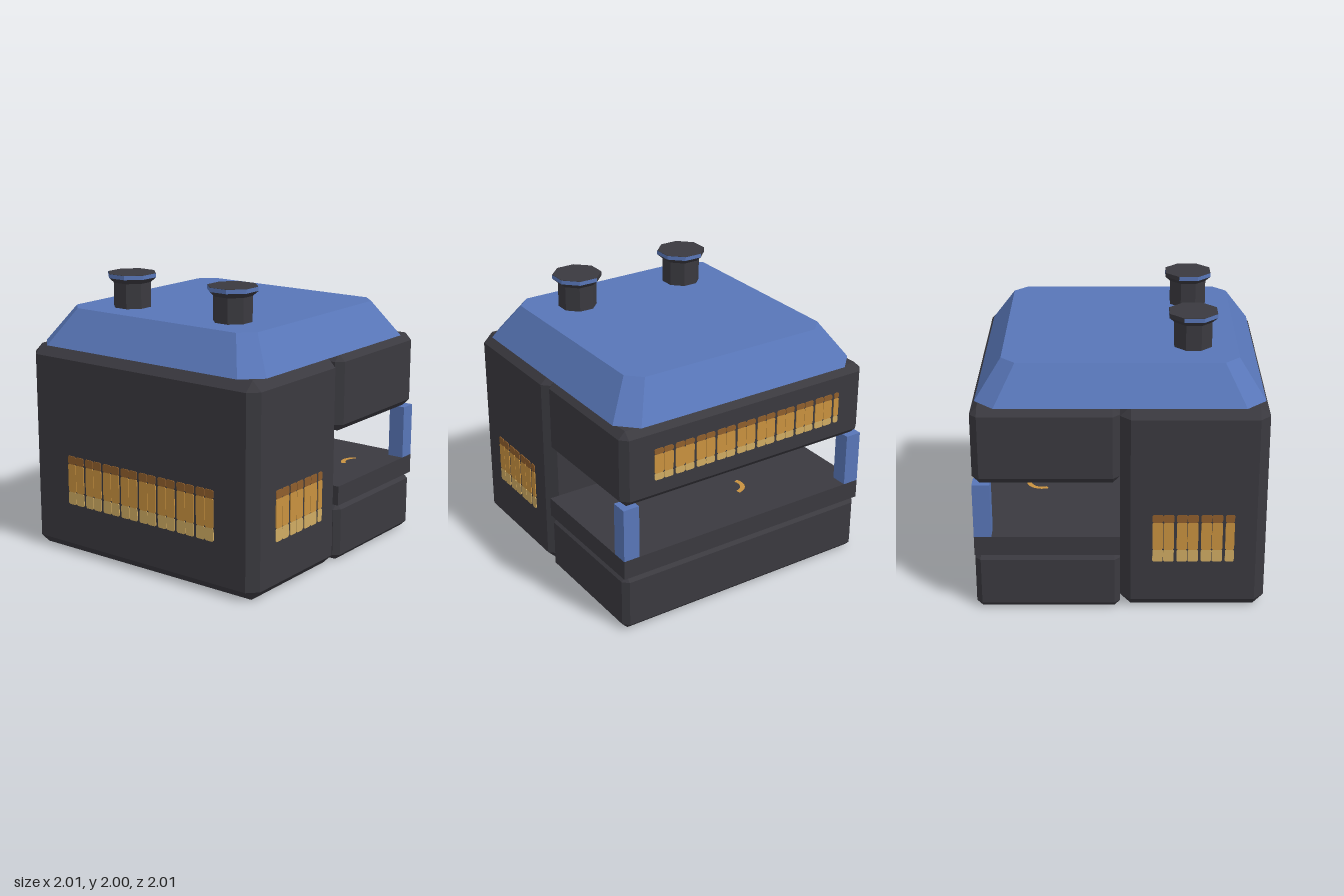
import * as THREE from 'three';
import { ConvexGeometry } from 'three/addons/geometries/ConvexGeometry.js';

const material = (name, color) => {
  const m = new THREE.MeshStandardMaterial({ color });
  m.name = name;
  return m;
};

export function createModel() {
  const model = new THREE.Group();
  model.name = 'kioskBuilding';
  const charcoal = material('charcoal', 0x3a393f);
  const blue = material('blue', 0x5876b8);
  const orange = material('orange', 0xc8913f);
  const brown = material('brown', 0x8f5e2c);
  const tan = material('tan', 0xcfab62);

  function add(name, geometry, mat, x = 0, y = 0, z = 0, parent = model) {
    const mesh = new THREE.Mesh(geometry, mat);
    mesh.name = name;
    mesh.position.set(x, y, z);
    parent.add(mesh);
    return mesh;
  }

  // Box with every edge and corner cut off by c
  function chamferBox(w, h, d, c) {
    const points = [];
    for (const sx of [-1, 1]) for (const sy of [-1, 1]) for (const sz of [-1, 1]) {
      for (let axis = 0; axis < 3; axis++) {
        const inset = [c, c, c];
        inset[axis] = 0;
        points.push(new THREE.Vector3(
          sx * (w / 2 - inset[0]), sy * (h / 2 - inset[1]), sz * (d / 2 - inset[2])));
      }
    }
    return new ConvexGeometry(points);
  }

  // Building blocks and counter
  add('tallBlock', chamferBox(1, 1.5, 2, 0.07), charcoal, -0.5, 0.75, 0);
  add('upperBlock', chamferBox(1, 0.55, 2, 0.05), charcoal, 0.5, 1.225, 0);
  add('lowerBlock', chamferBox(1, 0.42, 2, 0.04), charcoal, 0.5, 0.21, 0);
  add('counter', new THREE.BoxGeometry(1, 0.14, 2), charcoal, 0.5, 0.49, 0);

  // Corner posts
  for (const s of [-1, 1]) {
    add('cornerPost', new THREE.BoxGeometry(0.12, 0.39, 0.12), blue, 0.94, 0.755, s * 0.94);
  }

  // Sloped roof with cut corners
  const roofPoints = [];
  for (const [y, outer, inner] of [[1.5, 0.975, 0.84], [1.757, 0.8, 0.7]]) {
    for (const sx of [-1, 1]) for (const sz of [-1, 1]) {
      roofPoints.push(new THREE.Vector3(sx * outer, y, sz * inner));
      roofPoints.push(new THREE.Vector3(sx * inner, y, sz * outer));
    }
  }
  add('roof', new ConvexGeometry(roofPoints), blue);

  // Octagonal chimneys with a flared cap and a painted rim
  function octagon(top, bottom, y0, y1, open = false) {
    const k = 1 / Math.cos(Math.PI / 8);
    const g = new THREE.CylinderGeometry(top * k, bottom * k, y1 - y0, 8, 1, open, Math.PI / 8);
    const flat = g.toNonIndexed();
    flat.computeVertexNormals();
    return flat.translate(0, (y0 + y1) / 2, 0);
  }
  for (const z of [-0.45, 0.445]) {
    const chimney = new THREE.Group();
    chimney.name = 'chimney';
    chimney.position.set(-0.497, 0, z);
    model.add(chimney);
    add('chimneyStack', octagon(0.128, 0.128, 1.74, 1.95), charcoal, 0, 0, 0, chimney);
    add('chimneyFlare', octagon(0.165, 0.128, 1.935, 1.97), charcoal, 0, 0, 0, chimney);
    add('chimneyTop', octagon(0.163, 0.163, 1.97, 2), charcoal, 0, 0, 0, chimney);
    const rim = octagon(0.165, 0.165, 1.97, 1.999, true);
    rim.clearGroups();
    for (let i = 0; i < 8; i++) rim.addGroup(i * 6, 6, i === 2 ? 1 : 0);
    add('chimneyRim', rim, [blue, charcoal], 0, 0, 0, chimney);
  }

  // Thin plate with clipped corners, lying in the local xy plane
  function plate(x0, x1, y0, y1, depth = 0.006) {
    const c = Math.min(0.009, (x1 - x0) / 4);
    const shape = new THREE.Shape([
      [x0 + c, y0], [x1 - c, y0], [x1, y0 + c], [x1, y1 - c],
      [x1 - c, y1], [x0 + c, y1], [x0, y1 - c], [x0, y0 + c],
    ].map(([x, y]) => new THREE.Vector2(x, y)));
    return new THREE.ExtrudeGeometry(shape, { depth, bevelEnabled: false });
  }

  // Row of three-toned window slats in close pairs, cut off at the right end
  function slatWindow(name, left, right, levels, position, turn) {
    const group = new THREE.Group();
    group.name = name;
    group.position.set(...position);
    group.rotation.y = turn;
    model.add(group);
    for (let i = 0; ; i++) {
      const x0 = left + Math.floor(i / 2) * 0.166 + (i % 2) * 0.075;
      if (x0 > right - 0.02) break;
      const x1 = Math.min(x0 + 0.072, right);
      [tan, orange, brown].forEach((mat, k) => {
        add('windowSlat', plate(x0, x1, levels[k], levels[k + 1]), mat, 0, 0, 0, group);
      });
    }
  }
  const low = [0.37, 0.463, 0.67, 0.73];
  const high = [1.105, 1.155, 1.295, 1.335];
  slatWindow('frontWindow', -0.76, -0.215, low, [0, 0, 1], 0);
  slatWindow('backWindow', 0.22, 0.78, low, [0, 0, -1], Math.PI);
  slatWindow('leftHandWindow', -0.64, 0.67, low, [-1, 0, 0], -Math.PI / 2);
  slatWindow('upperWindow', -0.76, 0.775, high, [1, 0, 0], Math.PI / 2);

  // Slatted panel under the upper block
  for (let i = 0; i < 10; i++) {
    const x0 = 0.1 + i * 0.08;
    for (const [mat, z0, z1] of [[tan, -0.85, -0.42], [brown, -0.42, 0.85]]) {
      const slat = add('ceilingSlat', plate(x0, x0 + 0.077, z0, z1), mat, 0, 0.95, 0);
      slat.rotation.x = Math.PI / 2;
    }
  }

  // Small curved marks painted on the counter
  for (const [z, start] of [[0.72, 0.6], [-0.23, 0.1]]) {
    const arc = new THREE.RingGeometry(0.08, 0.115, 12, 1, start, 1.9);
    arc.rotateX(-Math.PI / 2);
    add('counterMark', arc, orange, 0.57, 0.564, z + 0.07);
  }

  return model;
}
